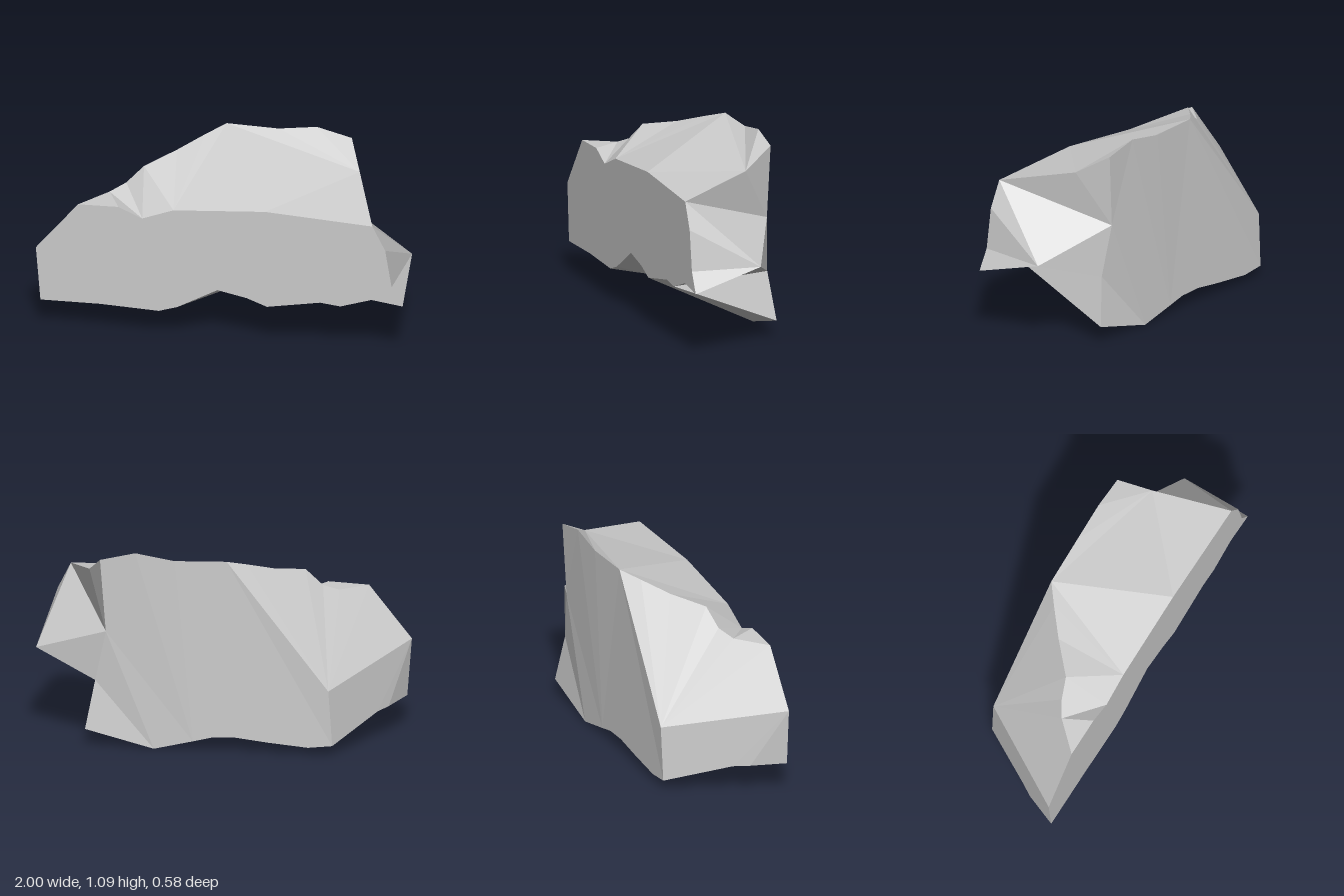
import * as THREE from 'three';

const FRONT = 0.29, BACK = -0.285;
const at = (z, list) => list.map(([x, y]) => new THREE.Vector3(x, y, z));
const v = (x, y, z) => new THREE.Vector3(x, y, z);

// Triangle fan around one point
const fan = (c, ring) => ring.slice(1).map((p, i) => [c, ring[i], p]);

// Strip between two paths, always taking the shorter diagonal
function bridge(a, b) {
  const tris = [];
  let i = 0, j = 0;
  while (i < a.length - 1 || j < b.length - 1) {
    const da = i < a.length - 1 ? a[i + 1].distanceTo(b[j]) : Infinity;
    const db = j < b.length - 1 ? a[i].distanceTo(b[j + 1]) : Infinity;
    if (da <= db) tris.push([a[i], a[++i], b[j]]);
    else tris.push([a[i], b[j + 1], b[j++]]);
  }
  return tris;
}

// Flat cap over an outline, facing +z (dir 1) or -z (dir -1)
function cap(loop, dir) {
  const flat = loop.map((p) => new THREE.Vector2(p.x, p.y));
  return THREE.ShapeUtils.triangulateShape(flat, []).map(([i, j, k]) => {
    const area = THREE.ShapeUtils.area([flat[i], flat[j], flat[k]]);
    return area * dir > 0 ? [loop[i], loop[j], loop[k]] : [loop[i], loop[k], loop[j]];
  });
}

export function createModel() {
  const group = new THREE.Group();
  group.name = 'rockSlab';
  const material = new THREE.MeshStandardMaterial({ color: 0xcccccc, flatShading: true });
  const addPart = (name, tris) => {
    const geometry = new THREE.BufferGeometry().setFromPoints(tris.flat());
    geometry.computeVertexNormals();
    const mesh = new THREE.Mesh(geometry, material);
    mesh.name = name;
    group.add(mesh);
  };

  // Front outline, split into its top, right and bottom edges
  const frontTop = at(FRONT, [[-0.77, 0.785], [-0.55, 0.795], [-0.42, 0.74], [-0.25, 0.81], [0.25, 0.86], [0.835, 0.84]]);
  const frontRight = at(FRONT, [[0.835, 0.84], [0.905, 0.7], [0.94, 0.48], [1, 0.37], [0.83, 0.39], [0.66, 0.33]]);
  const frontBottom = at(FRONT, [[0.66, 0.33], [0.55, 0.34], [0.26, 0.28], [0.15, 0.32], [-0.01, 0.35],
    [-0.23, 0.22], [-0.33, 0.185], [-0.65, 0.19], [-0.975, 0.178]]);
  const frontLeft = v(-1, 0.495, FRONT);

  // Back outline
  const backTop = [v(-0.08, 1.055, -0.27), v(0.2, 1.05, -0.28), v(0.41, 1.085, -0.28), v(0.6, 1.04, -0.28)];
  const backBottom = at(BACK, [[0.68, 0.095], [0.31, 0], [0.1, 0.05], [0, 0.075], [-0.13, 0.08],
    [-0.3, 0.06], [-0.52, 0.04], [-0.65, 0.055]]);
  const backLeft = v(-0.63, 0.36, -0.29);
  const hollow = v(0.57, 0.64, -0.27), notch = v(0.63, 0.36, -0.25);

  // Points between front and back
  const ridge = [v(-0.63, 0.797, 0.14), v(-0.55, 0.835, 0.09), v(-0.46, 0.93, 0.06),
    v(-0.31, 0.97, -0.08), v(-0.18, 1.02, -0.19), backTop[0]];
  const shoulder = v(0.68, 0.935, -0.11);
  const spur = v(0.97, 0.48, -0.09);
  const foot = [v(-0.85, 0.16, 0.03), v(-0.9, 0.168, 0.11)];
  const heel = backBottom.at(-1), frontHeel = frontBottom.at(-1);

  addPart('frontFace', cap([frontLeft, ...frontTop, ...frontRight.slice(1), ...frontBottom.slice(1)], 1));
  addPart('backFace', [
    ...fan(backTop[0], [...backBottom.slice(2), backLeft]),
    ...cap([...backTop, hollow, backBottom[1], backBottom[2]], -1),
    ...fan(backBottom[1], [hollow, notch, backBottom[0]]),
  ]);
  addPart('topFacets', [
    ...bridge(frontTop.slice(0, 3), ridge.slice(0, 1)),
    ...bridge(frontTop.slice(2), [...ridge, shoulder]),
    ...fan(shoulder, [...backTop].reverse()),
  ]);
  addPart('leftSlope', fan(backLeft, [frontLeft, frontTop[0], ...ridge]));
  addPart('leftEnd', [
    ...fan(frontLeft, [backLeft, ...foot, frontHeel]),
    [backLeft, heel, foot[0]],
  ]);
  addPart('rightEnd', [
    ...fan(spur, [hollow, ...frontRight, notch, hollow]),
    ...fan(hollow, [backTop.at(-1), shoulder, frontRight[0]]),
    [notch, frontBottom[0], backBottom[0]],
  ]);
  addPart('underside', bridge(frontBottom, [...backBottom, ...foot]));
  return group;
}
